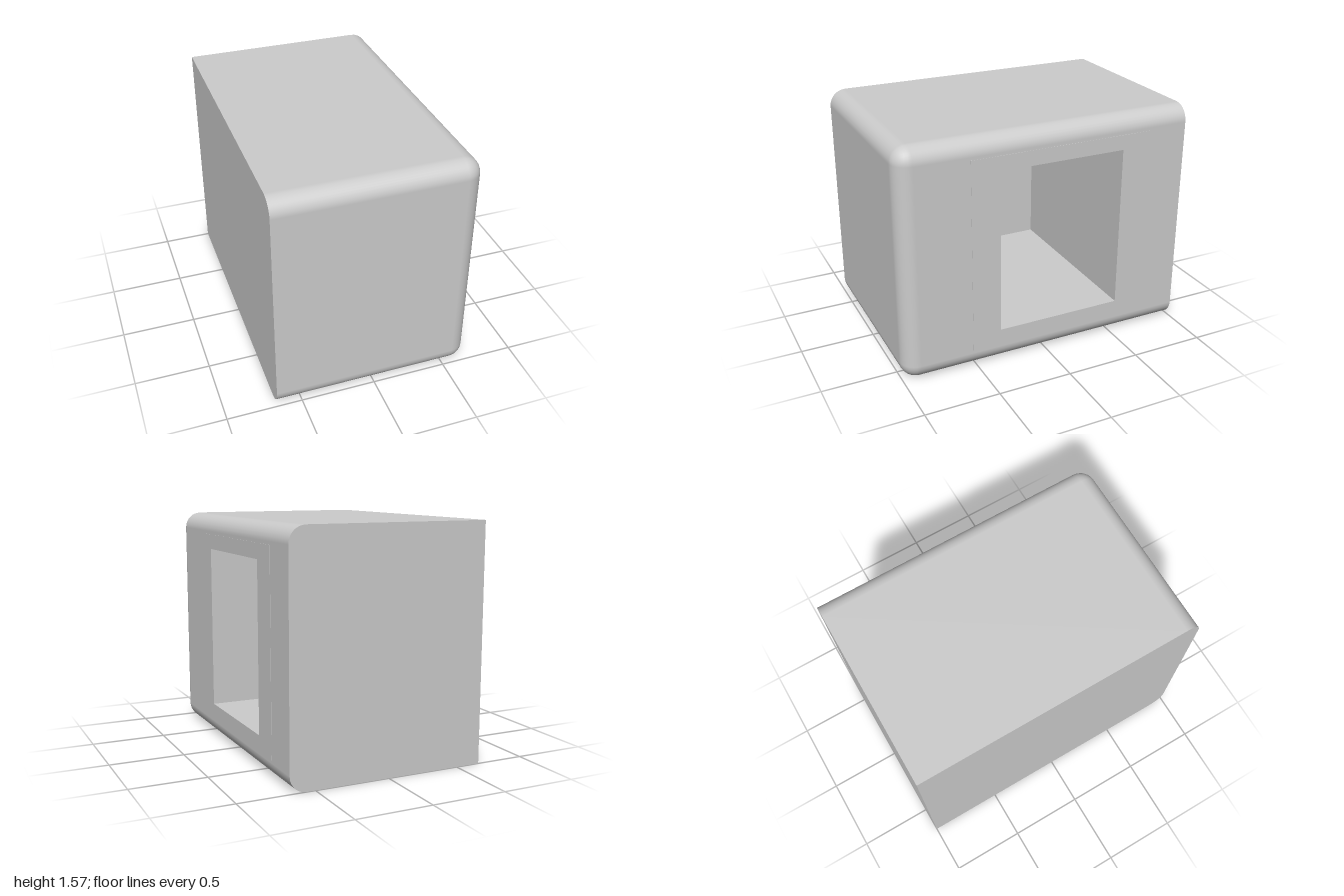
import * as THREE from 'three';
import { RoundedBoxGeometry } from 'three/addons/geometries/RoundedBoxGeometry.js';

const W = 1.334, H = 1.57, D = 2, R = 0.11;              // casing size and edge radius
const HOLE = { z0: -0.53, z1: 0.335, y0: 0.235, y1: 1.34 };
const FRAME = { z0: -0.73, z1: 0.53, y0: 0.13, y1: 1.44 };
const FRAME_DEPTH = 0.067, POCKET_END = -0.6;

// Drops the triangles that lie wholly in the plane x = value
function withoutPlaneX(geometry, value) {
  const p = geometry.attributes.position, n = geometry.attributes.normal;
  const pos = [], nor = [];
  for (let i = 0; i < p.count; i += 3) {
    if ([0, 1, 2].every(k => Math.abs(p.getX(i + k) - value) < 1e-4)) continue;
    for (let k = i; k < i + 3; k++) {
      pos.push(p.getX(k), p.getY(k), p.getZ(k));
      nor.push(n.getX(k), n.getY(k), n.getZ(k));
    }
  }
  const out = new THREE.BufferGeometry();
  out.setAttribute('position', new THREE.Float32BufferAttribute(pos, 3));
  out.setAttribute('normal', new THREE.Float32BufferAttribute(nor, 3));
  return out;
}

// Rounded box whose left and back sides are cut flat
function casingGeometry() {
  const g = new RoundedBoxGeometry(W + R, H, D + R, 4, R);
  g.translate(-R / 2, H / 2, -R / 2);
  const p = g.attributes.position, n = g.attributes.normal;
  for (let i = 0; i < p.count; i++) {
    p.setX(i, Math.max(p.getX(i), -W / 2));
    p.setZ(i, Math.max(p.getZ(i), -D / 2));
  }
  for (let i = 0; i < p.count; i += 3) {
    const ids = [i, i + 1, i + 2];
    if (ids.every(k => p.getX(k) < -W / 2 + 1e-4)) ids.forEach(k => n.setXYZ(k, -1, 0, 0));
    else if (ids.every(k => p.getZ(k) < -D / 2 + 1e-4)) ids.forEach(k => n.setXYZ(k, 0, 0, -1));
  }
  return withoutPlaneX(g, W / 2);
}

// Rectangle with a rectangular hole, drawn with shape x = -z and shape y = y
function windowShape(outer, hole) {
  const corners = r => [[-r.z1, r.y0], [-r.z0, r.y0], [-r.z0, r.y1], [-r.z1, r.y1]]
    .map(([x, y]) => new THREE.Vector2(x, y));
  const shape = new THREE.Shape(corners(outer));
  shape.holes.push(new THREE.Path(corners(hole).reverse()));
  return shape;
}

// Inward-facing box, open towards +x
function pocketGeometry() {
  const open = W / 2 - FRAME_DEPTH + 0.002;
  const g = new THREE.BoxGeometry(open - POCKET_END, HOLE.y1 - HOLE.y0, HOLE.z1 - HOLE.z0).toNonIndexed();
  g.scale(-1, 1, 1);
  g.computeVertexNormals();
  g.translate((open + POCKET_END) / 2, (HOLE.y0 + HOLE.y1) / 2, (HOLE.z0 + HOLE.z1) / 2);
  return withoutPlaneX(g, open);
}

export function createModel() {
  const grey = new THREE.MeshStandardMaterial({ color: 0xcccccc });
  grey.name = 'light grey';
  const model = new THREE.Group();
  model.name = 'hollowCasing';
  const add = (name, geometry) => {
    const mesh = new THREE.Mesh(geometry, grey);
    mesh.name = name;
    model.add(mesh);
  };

  add('casing', casingGeometry());

  // Flat side wall around the opening
  const wall = { z0: -D / 2, z1: D / 2 - R, y0: R, y1: H - R };
  add('sideWall', new THREE.ShapeGeometry(windowShape(wall, HOLE))
    .rotateY(Math.PI / 2).translate(W / 2, 0, 0));

  // Nearly flush frame that lines the opening
  add('openingFrame', new THREE.ExtrudeGeometry(windowShape(FRAME, HOLE), { depth: FRAME_DEPTH, bevelEnabled: false })
    .rotateY(Math.PI / 2).translate(W / 2 - FRAME_DEPTH + 0.002, 0, 0));

  add('innerCompartment', pocketGeometry());
  return model;
}
